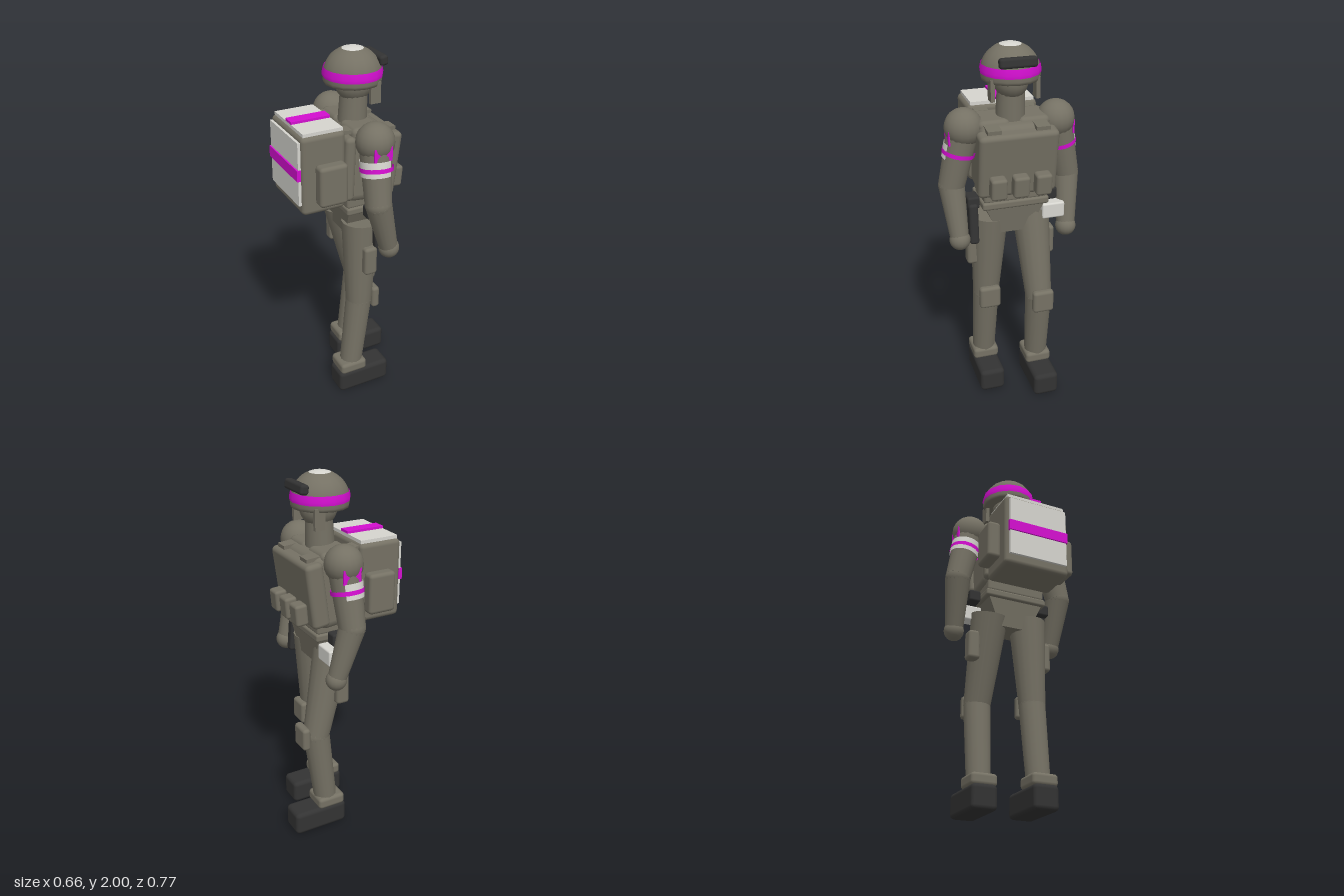
import * as THREE from 'three';
import { RoundedBoxGeometry } from 'three/addons/geometries/RoundedBoxGeometry.js';

const mat = (name, color) => Object.assign(new THREE.MeshStandardMaterial({ color }), { name });

export function createModel() {
  const olive = mat('olive', 0x757164);
  const dark = mat('charcoal', 0x333333);
  const white = mat('offWhite', 0xd6d5cf);
  const magenta = mat('magenta', 0xd40fd0);
  magenta.side = white.side = THREE.DoubleSide;

  const root = new THREE.Group();
  root.name = 'soldier';
  const add = (name, geo, material, x = 0, y = 0, z = 0) => {
    const m = new THREE.Mesh(geo, material);
    m.name = name;
    m.position.set(x, y, z);
    root.add(m);
    return m;
  };
  // box given by its extents, with optional rounded edges and tilt about z
  const box = (name, material, [x0, x1], [y0, y1], [z0, z1], r = 0, tilt = 0) => {
    const s = [x1 - x0, y1 - y0, z1 - z0];
    const geo = r ? new RoundedBoxGeometry(...s, 2, r) : new THREE.BoxGeometry(...s);
    const m = add(name, geo, material, (x0 + x1) / 2, (y0 + y1) / 2, (z0 + z1) / 2);
    m.rotation.z = tilt;
    return m;
  };
  const span = (a, b, s) => (s > 0 ? [a, b] : [-b, -a]);
  const ball = (name, material, p, r) => add(name, new THREE.SphereGeometry(r, 18, 12), material, ...p);
  // tapered tube between two points; arc limits the sweep
  const limb = (name, material, a, b, ra, rb, open = false, start = 0, arc = Math.PI * 2) => {
    const A = new THREE.Vector3(...a), B = new THREE.Vector3(...b);
    const dir = A.clone().sub(B);
    const mid = A.clone().add(B).multiplyScalar(0.5);
    const m = add(name, new THREE.CylinderGeometry(ra, rb, dir.length(), 16, 1, open, start, arc), material, mid.x, mid.y, mid.z);
    m.quaternion.setFromUnitVectors(new THREE.Vector3(0, 1, 0), dir.normalize());
    return m;
  };
  const mix = (a, b, t) => a.map((v, i) => v + (b[i] - v) * t);

  // box whose bottom is narrowed
  const tapered = (name, w, h, d, kx, kz, x, y) => {
    const g = new THREE.BoxGeometry(w, h, d);
    const p = g.attributes.position;
    for (let i = 0; i < p.count; i++) {
      if (p.getY(i) < 0) p.setXYZ(i, p.getX(i) * kx, p.getY(i), p.getZ(i) * kz);
    }
    g.computeVertexNormals();
    return add(name, g, olive, x, y, 0);
  };

  // legs: one stepping forward, one behind
  for (const s of [1, -1]) {
    const f = s > 0 ? 0 : 0.125;
    const hip = [0.055, 1.08, s * 0.115];
    const knee = [0.04 + f, 0.59, s * 0.135];
    const ankle = [-0.01 + f, 0.17, s * 0.14];
    limb('thigh', olive, hip, knee, 0.103, 0.073);
    ball('knee', olive, knee, 0.073);
    limb('shin', olive, knee, ankle, 0.073, 0.064);
    box('kneePad', olive, [0.1 + f, 0.146 + f], [0.53, 0.66], span(0.075, 0.193, s), 0.018);
    box('ankleCuff', olive, [-0.1 + f, 0.06 + f], [0.125, 0.192], span(0.067, 0.213, s), 0.02);
    box('boot', dark, [-0.11 + f, 0.205 + f], [0, 0.135], span(0.07, 0.212, s), 0.025);
    box('thighPouch', olive, [0.02, 0.095], [0.8, 0.965], span(0.18, 0.247, s), 0.018);
  }

  // pelvis, belt and waist
  tapered('pelvis', 0.2, 0.16, 0.32, 0.8, 0.55, 0.062, 1.08);
  box('belt', olive, [-0.055, 0.18], [1.155, 1.197], [-0.18, 0.18], 0.012);
  box('waist', olive, [-0.05, 0.17], [1.19, 1.27], [-0.17, 0.17], 0.015);

  // torso and vest, leaning slightly forward
  box('torso', olive, [-0.045, 0.185], [1.22, 1.62], [-0.19, 0.19], 0.05, -0.1);
  box('backPlate', olive, [-0.075, -0.015], [1.25, 1.6], [-0.2, 0.2], 0.025, -0.04);
  box('chestPlate', olive, [0.13, 0.228], [1.24, 1.59], [-0.208, 0.208], 0.025, -0.13);
  for (const z of [-0.118, 0, 0.118]) {
    box('chestPouch', olive, [0.215, 0.284], [1.255, 1.37], [z - 0.042, z + 0.042], 0.015, -0.08);
  }
  for (const s of [1, -1]) {
    box('shoulderStrap', olive, [-0.075, 0.225], [1.6, 1.62], span(0.09, 0.163, s), 0, -0.09);
    box('collarYoke', olive, [-0.03, 0.15], [1.54, 1.635], span(0.02, 0.19, s), 0.03, -0.06);
  }

  // arms with shoulder caps, bands and patches
  for (const s of [1, -1]) {
    const shoulder = [0.062, 1.585, s * 0.245];
    const elbow = [0.05, 1.27, s * 0.314];
    const wrist = [0.125, 1.0, s * 0.297];
    ball('shoulder', olive, shoulder, 0.1);
    limb('upperArm', olive, shoulder, elbow, 0.084, 0.07);
    ball('elbow', olive, elbow, 0.07);
    limb('forearm', olive, elbow, wrist, 0.07, 0.05);
    ball('hand', olive, [0.13, 0.985, s * 0.296], 0.056);
    limb('whiteArmBand', white, mix(shoulder, elbow, 0.28), mix(shoulder, elbow, 0.53), 0.085, 0.082,
      true, s > 0 ? Math.PI * 1.03 : Math.PI * 0.97, s > 0 ? Math.PI * 0.97 : Math.PI).rotateY(s > 0 ? 0.5 : -0.5);
    limb('magentaArmBand', magenta, mix(shoulder, elbow, 0.385), mix(shoulder, elbow, 0.455), 0.087, 0.086, true);
    box('armPatch', magenta, [0.012, 0.112], [1.508, 1.584], span(0.326, 0.334, s));
    box('beltPouch', dark, [0.03, 0.12], [1.145, 1.212], span(0.18, 0.246, s), 0.012);
  }

  // sidearm and medical pouch on the belt
  box('holster', dark, [0.075, 0.145], [0.95, 1.175], [0.193, 0.243], 0.015, 0.08);
  box('medicalPouch', white, [0.085, 0.16], [1.053, 1.14], [-0.277, -0.152], 0.01);

  // backpack with light panels and stripes
  box('backpack', olive, [-0.31, -0.07], [1.222, 1.645], [-0.19, 0.19], 0.025);
  for (const s of [1, -1]) {
    box('sidePocket', olive, [-0.243, -0.088], [1.282, 1.5], span(0.185, 0.259, s), 0.02);
  }
  box('topPanel', white, [-0.295, -0.08], [1.643, 1.661], [-0.172, 0.172]);
  box('topStripe', magenta, [-0.295, -0.08], [1.661, 1.674], [-0.034, 0.034]);
  box('rearPanel', white, [-0.324, -0.308], [1.278, 1.62], [-0.17, 0.17]);
  box('rearStripe', magenta, [-0.332, -0.311], [1.417, 1.477], [-0.175, 0.175]);

  // head and neck
  limb('neck', olive, [0.07, 1.78, 0], [0.062, 1.6, 0], 0.07, 0.077);
  ball('head', olive, [0.07, 1.815, 0], 0.1).scale.set(1, 1, 0.9);

  // helmet dome, crown disc and band
  const lathe = (name, pts, material) =>
    add(name, new THREE.LatheGeometry(pts.map((p) => new THREE.Vector2(...p)), 16), material, 0.062, 0, 0);
  const dome = [[0, 1.84], [0.12, 1.825], [0.147, 1.82], [0.151, 1.835], [0.151, 1.855]];
  const cap = [];
  for (let i = 1; i <= 9; i++) {
    const a = (i / 9) * 1.19;
    dome.push([0.151 * Math.cos(a), 1.855 + 0.145 * Math.sin(a)]);
  }
  for (let i = 0; i <= 3; i++) {
    const a = 1.19 + (i / 3) * (Math.PI / 2 - 1.19);
    cap.push([Math.max(0, 0.151 * Math.cos(a)), 1.855 + 0.145 * Math.sin(a)]);
  }
  lathe('helmet', dome, olive);
  lathe('helmetCrown', cap, white);
  lathe('helmetBand', [[0.153, 1.853], [0.155, 1.87], [0.149, 1.9]], magenta);
  box('goggles', dark, [0.168, 0.215], [1.904, 1.956], [-0.096, 0.096], 0.015, 0.15);
  for (const s of [1, -1]) {
    box('earFlap', olive, [0.1, 0.156], [1.73, 1.84], span(0.106, 0.127, s));
  }
  return root;
}
